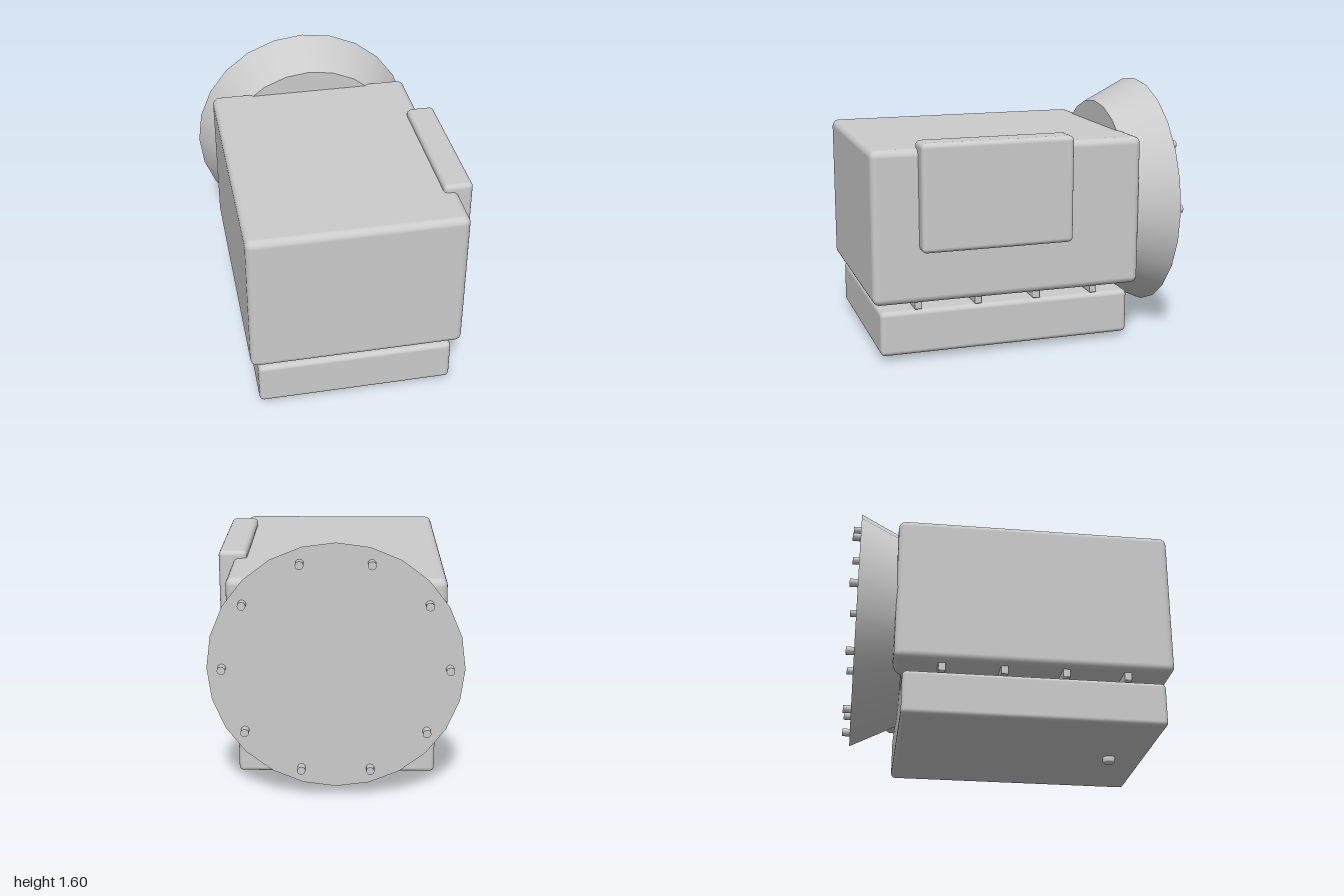
import * as THREE from 'three';
import { RoundedBoxGeometry } from 'three/addons/geometries/RoundedBoxGeometry.js';

const material = new THREE.MeshStandardMaterial({ color: 0xcccccc });

export function createModel() {
  const group = new THREE.Group();

  const add = (name, geometry, x, y, z) => {
    const mesh = new THREE.Mesh(geometry, material);
    mesh.name = name;
    mesh.position.set(x, y, z);
    group.add(mesh);
    return mesh;
  };

  // Rounded box given by its lower and upper corners
  const block = (name, min, max, radius) => {
    const size = max.map((v, i) => v - min[i]);
    const mid = max.map((v, i) => (v + min[i]) / 2);
    return add(name, new RoundedBoxGeometry(...size, 3, radius), ...mid);
  };

  // Cylinder lying along z; the first radius is at the rear
  const rearCylinder = (rear, front, length, sides) =>
    new THREE.CylinderGeometry(rear, front, length, sides).rotateX(-Math.PI / 2);

  // Main housing, lower tray and side box
  block('housing', [-0.665, 0.37, -0.715], [0.665, 1.315, 1.0], 0.045);
  block('baseTray', [-0.615, 0.035, -0.66], [0.615, 0.315, 0.95], 0.03);
  block('sideBox', [0.575, 0.7, -0.235], [0.755, 1.36, 0.715], 0.03);

  // Cross bars between the tray and the housing
  for (let i = 0; i < 4; i++) {
    const z = 0.715 - i * 0.38;
    block('crossBar', [-0.615, 0.32, z - 0.023], [0.615, 0.385, z + 0.023], 0.006);
  }

  // Flared rear flange
  const axisY = 0.84;
  add('rearFlange', rearCylinder(0.76, 0.62, 0.29, 24), 0, axisY, -0.805);

  // Ring of bolts on the flange
  for (let i = 0; i < 10; i++) {
    const a = (i * Math.PI) / 5;
    add('flangeBolt', rearCylinder(0.025, 0.025, 0.08, 12),
      0.67 * Math.cos(a), axisY + 0.67 * Math.sin(a), -0.96);
  }

  // Foot stud with a chamfered lower rim
  const footProfile = [[0, 0], [0.034, 0], [0.041, 0.007], [0.041, 0.05], [0, 0.05]]
    .map(([r, y]) => new THREE.Vector2(r, y));
  add('footStud', new THREE.LatheGeometry(footProfile, 16), 0, 0, 0.715);

  return group;
}
